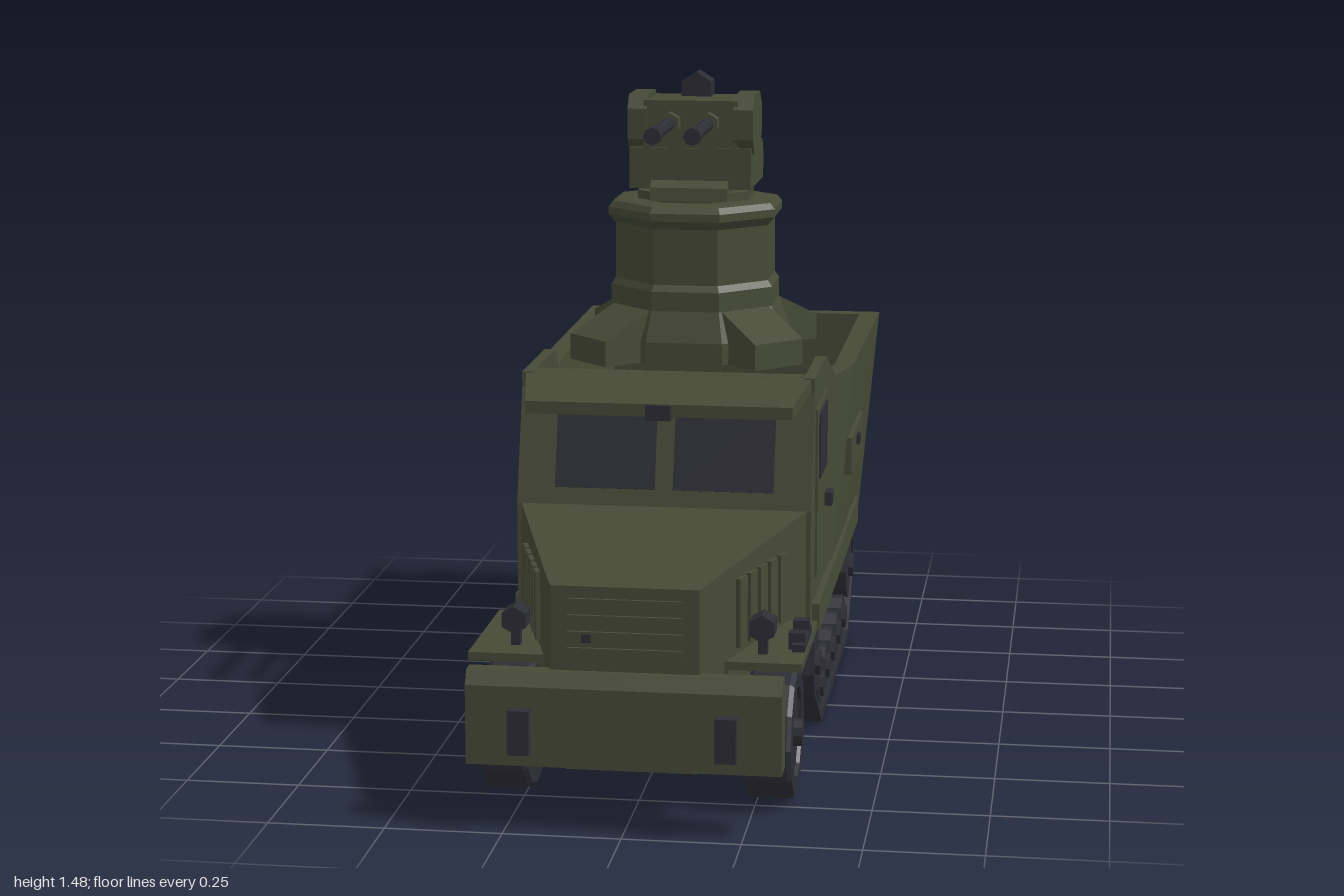
import * as THREE from 'three';

const green = new THREE.MeshStandardMaterial({ color: 0x464a35 });
green.name = 'olive paint';
const dark = new THREE.MeshStandardMaterial({ color: 0x2d2d36 });
dark.name = 'dark metal and glass';

export function createModel() {
  const root = new THREE.Group();
  root.name = 'halfTrackTruck';

  // Faceted mesh
  function add(name, geo, mat = green, x = 0, y = 0, z = 0, parent = root) {
    const g = geo.index ? geo.toNonIndexed() : geo;
    g.computeVertexNormals();
    const m = new THREE.Mesh(g, mat);
    m.name = name;
    m.position.set(x, y, z);
    parent.add(m);
    return m;
  }
  // Box from its extents
  const box = (name, mat, x0, x1, y0, y1, z0, z1) =>
    add(name, new THREE.BoxGeometry(x1 - x0, y1 - y0, z1 - z0), mat, (x0 + x1) / 2, (y0 + y1) / 2, (z0 + z1) / 2);
  // Side profile of [z, y] points extruded across x
  function profile(pts, width, hole) {
    const shape = new THREE.Shape(pts.map(p => new THREE.Vector2(...p)));
    if (hole) shape.holes.push(new THREE.Path(hole.map(p => new THREE.Vector2(...p))));
    return new THREE.ExtrudeGeometry(shape, { depth: width, bevelEnabled: false })
      .translate(0, 0, -width / 2).rotateY(-Math.PI / 2);
  }
  // Skin through sections { z, p: [x, y] counter-clockwise }, front to back, capped
  function loft(sections) {
    const pos = [], n = sections[0].p.length;
    const put = (s, i) => pos.push(s.p[i % n][0], s.p[i % n][1], s.z);
    for (let k = 0; k < sections.length - 1; k++) {
      const f = sections[k], b = sections[k + 1];
      for (let i = 0; i < n; i++) {
        put(f, i); put(b, i); put(b, i + 1);
        put(f, i); put(b, i + 1); put(f, i + 1);
      }
    }
    const first = sections[0], last = sections[sections.length - 1];
    const tris = s => THREE.ShapeUtils.triangulateShape(s.p.map(q => new THREE.Vector2(...q)), []);
    tris(first).forEach(t => t.forEach(i => put(first, i)));
    tris(last).forEach(t => [t[0], t[2], t[1]].forEach(i => put(last, i)));
    const g = new THREE.BufferGeometry();
    g.setAttribute('position', new THREE.Float32BufferAttribute(pos, 3));
    return g;
  }
  // Trapezoid section
  const trap = (z, wb, wt, y0, y1) => ({ z, p: [[-wb, y0], [wb, y0], [wt, y1], [-wt, y1]] });
  const axle = (r, w, n) => new THREE.CylinderGeometry(r, r, w, n).rotateZ(Math.PI / 2);
  const barrel = (r, l, n) => new THREE.CylinderGeometry(r, r, l, n).rotateX(Math.PI / 2);
  const sides = [1, -1];

  // Open cab and cargo tub
  const tub = (z, xo, xi, yt) => ({
    z, p: [[-0.33, 0.26], [0.33, 0.26], [xo, yt], [xi, yt], [0.3, 0.39], [-0.3, 0.39], [-xi, yt], [-xo, yt]],
  });
  add('bodyTub', loft([
    tub(0.31, 0.33, 0.305, 0.845), tub(0.03, 0.33, 0.305, 0.845), tub(-0.05, 0.345, 0.31, 0.785),
    tub(-0.2, 0.375, 0.33, 0.785), tub(-0.945, 0.38, 0.33, 0.785)]));
  add('tailgate', loft([trap(-0.91, 0.33, 0.378, 0.262, 0.784), trap(-0.947, 0.33, 0.38, 0.26, 0.785)]));
  box('cabBench', green, -0.3, 0.3, 0.38, 0.55, -0.03, 0.07);
  add('floorPlug', new THREE.CylinderGeometry(0.017, 0.017, 0.285, 6), dark, -0.085, 0.2725, -0.67);

  // Lower hull
  box('hull', green, -0.22, 0.22, 0.14, 0.3, -0.74, 0.52);
  box('frontChassis', green, -0.14, 0.14, 0.1, 0.32, 0.51, 0.86);

  // Cowl, windscreen and visor
  add('cowl', profile([[0.28, 0.27], [0.385, 0.27], [0.385, 0.56], [0.3, 0.845], [0.26, 0.845], [0.31, 0.56]], 0.66));
  for (const s of sides) {
    const w = add('windscreen', new THREE.BoxGeometry(0.225, 0.185, 0.008), dark, s * 0.133, 0.685, 0.348);
    w.rotation.x = -0.29;
  }
  add('visor', loft([trap(0.46, 0.295, 0.295, 0.78, 0.808), trap(0.29, 0.325, 0.325, 0.82, 0.847)]));
  box('visorLamp', dark, -0.028, 0.028, 0.772, 0.806, 0.43, 0.465);

  // Bonnet and grille
  add('bonnet', loft([trap(0.94, 0.155, 0.155, 0.27, 0.52), trap(0.86, 0.18, 0.18, 0.27, 0.526),
    trap(0.385, 0.32, 0.32, 0.27, 0.56)]));
  for (let i = 0; i < 4; i++) box('grilleSlat', green, -0.12, 0.12, 0.37 + i * 0.035, 0.39 + i * 0.035, 0.935, 0.947);
  box('grilleBadge', dark, -0.09, -0.07, 0.402, 0.42, 0.94, 0.949);

  // Front bumper
  add('bumper', profile([[0.91, 0.14], [0.975, 0.14], [0.975, 0.31], [0.955, 0.34], [0.925, 0.34], [0.905, 0.3]], 0.66));

  for (const s of sides) {
    const bx = (name, mat, a, b, ...r) => box(name, mat, Math.min(s * a, s * b), Math.max(s * a, s * b), ...r);
    bx('bumperPost', dark, 0.193, 0.238, 0.17, 0.265, 0.96, 1.0);

    // Fender with inner arch, headlamp and bonnet louvres
    bx('fender', green, 0.16, 0.355, 0.318, 0.336, 0.475, 0.82);
    bx('innerArch', green, 0.13, 0.2, 0.14, 0.32, 0.51, 0.82);
    bx('lampPost', dark, 0.255, 0.275, 0.33, 0.38, 0.735, 0.755);
    add('headlamp', barrel(0.03, 0.055, 6), dark, s * 0.265, 0.395, 0.745);
    for (let i = 0; i < 5; i++) {
      const z = 0.53 + i * 0.053;
      const l = add('louvre', new THREE.BoxGeometry(0.022, 0.15, 0.038), green, s * (0.32 - (z - 0.385) * 0.297), 0.425, z);
      l.rotation.y = -s * 0.29;
    }

    // Door with window and handle
    bx('door', green, 0.32, 0.335, 0.385, 0.77, 0.04, 0.285);
    bx('doorWindow', dark, 0.331, 0.339, 0.605, 0.755, 0.083, 0.255);
    bx('innerDoorWindow', dark, 0.299, 0.307, 0.605, 0.755, 0.083, 0.255);
    bx('doorHandle', dark, 0.325, 0.352, 0.51, 0.54, 0.06, 0.11);

    // Side locker, sill and inner bench
    bx('sideLocker', green, 0.33, 0.37, 0.51, 0.6, -0.55, -0.22);
    bx('lockerLatch', dark, 0.36, 0.378, 0.555, 0.58, -0.395, -0.36);
    bx('sill', green, 0.2, 0.346, 0.272, 0.336, -0.74, 0.335);
    bx('bench', green, 0.165, 0.315, 0.38, 0.53, -0.91, -0.1);

    // Tailgate ribs and tow hooks
    for (const x of [0.09, 0.24]) {
      const p = [[-0.03, 0], [-0.012, 0.035], [0.012, 0.035], [0.03, 0]].map(q => new THREE.Vector2(...q));
      const rib = new THREE.ExtrudeGeometry(new THREE.Shape(p), { depth: 0.4, bevelEnabled: false });
      add('tailgateRib', rib.rotateX(-Math.PI / 2), green, s * x, 0.35, -0.945);
    }
    bx('towHook', dark, 0.09, 0.19, 0.285, 0.315, -1.0, -0.975);
    bx('towMount', dark, 0.115, 0.165, 0.275, 0.32, -0.985, -0.94);

    // Front wheel
    const tyre = [[0.001, -0.05], [0.135, -0.05], [0.145, -0.04], [0.145, 0.04], [0.138, 0.05], [0.1, 0.05],
      [0.096, 0.042], [0.001, 0.042]].map(q => new THREE.Vector2(...q));
    add('frontWheel', new THREE.LatheGeometry(tyre, 12).rotateZ(-s * Math.PI / 2), dark, s * 0.283, 0.145, 0.68);

    // Track band and running gear
    const outer = [[0.13, 0], [0.3, 0.11], [0.337, 0.17], [0.325, 0.245], [0.27, 0.277], [-0.68, 0.277],
      [-0.735, 0.25], [-0.757, 0.19], [-0.735, 0.13], [-0.6, 0]];
    const inner = [[0.135, 0.022], [0.285, 0.12], [0.315, 0.172], [0.305, 0.232], [0.265, 0.254], [-0.675, 0.254],
      [-0.72, 0.235], [-0.735, 0.188], [-0.718, 0.142], [-0.593, 0.022]];
    add('track', profile(outer, 0.11, inner), dark, s * 0.28);
    for (const z of [0.24, -0.66]) {
      add('driveWheel', axle(0.083, 0.09, 10), dark, s * 0.285, 0.175, z);
      add('driveHub', axle(0.03, 0.115, 8), dark, s * 0.285, 0.175, z);
    }
    add('trackTensioner', profile([[0.26, 0.12], [0.21, 0.09], [0.16, 0.13], [0.155, 0.19], [0.2, 0.24], [0.26, 0.2]], 0.06),
      dark, s * 0.285);
    for (let i = 0; i < 5; i++) {
      add('roadWheel', axle(0.054, 0.095, 10), dark, s * 0.28, 0.076, 0.08 - i * 0.15);
      add('roadHub', axle(0.03, 0.112, 8), dark, s * 0.28, 0.076, 0.08 - i * 0.15);
    }
  }
  add('frontAxle', axle(0.03, 0.69, 10), dark, 0, 0.145, 0.68);
  box('tailLamp', dark, -0.33, -0.285, 0.29, 0.33, -0.98, -0.94);

  // Tools stowed on the left fender
  box('toolBar', dark, 0.325, 0.352, 0.336, 0.352, 0.57, 0.73);
  for (const z of [0.595, 0.695]) box('toolClip', dark, 0.315, 0.35, 0.336, 0.372, z - 0.015, z + 0.015);

  // Eight-sided turret pedestal
  const turret = new THREE.Group();
  turret.name = 'turret';
  turret.position.z = -0.165;
  root.add(turret);
  const column = [[0.001, 0.82], [0.215, 0.82], [0.215, 0.87], [0.19, 0.94], [0.19, 0.985], [0.18, 1.0], [0.18, 1.13],
    [0.196, 1.15], [0.196, 1.168], [0.185, 1.182], [0.13, 1.185], [0.13, 1.205], [0.001, 1.205]]
    .map(([r, y]) => new THREE.Vector2(r * 1.082, y));
  add('pedestal', new THREE.LatheGeometry(column, 8, Math.PI / 8), green, 0, 0, 0, turret);
  for (let i = 0; i < 4; i++) {
    const foot = add('pedestalFoot', profile([[0.12, 0.82], [0.315, 0.82], [0.315, 0.88], [0.19, 0.94], [0.12, 0.94]], 0.14),
      green, 0, 0, 0, turret);
    foot.rotation.y = Math.PI / 4 + i * Math.PI / 2;
  }

  // Gun housing
  add('turretNeck', profile([[-0.03, 1.19], [-0.035, 1.22], [-0.055, 1.235], [-0.28, 1.235], [-0.3, 1.19]], 0.18));
  add('housingBase', profile([[-0.06, 1.215], [-0.06, 1.31], [-0.3, 1.31], [-0.33, 1.27], [-0.315, 1.215]], 0.284));
  add('housingCore', profile([[-0.065, 1.3], [-0.065, 1.42], [-0.23, 1.42], [-0.3, 1.41], [-0.33, 1.38], [-0.33, 1.28], [-0.3, 1.25]], 0.22));
  add('housingRear', profile([[-0.19, 1.3], [-0.19, 1.41], [-0.3, 1.41], [-0.33, 1.38], [-0.33, 1.27], [-0.3, 1.24]], 0.27));
  for (const s of sides) {
    add('sideCheek', profile([[-0.06, 1.33], [-0.06, 1.4], [-0.085, 1.432], [-0.205, 1.432], [-0.245, 1.4], [-0.245, 1.335],
      [-0.21, 1.295], [-0.09, 1.295]], 0.045), green, s * 0.124);
    add('gunCollar', barrel(0.025, 0.04, 6), green, s * 0.045, 1.37, -0.05);
    add('gunBarrel', barrel(0.015, 0.28, 8), dark, s * 0.045, 1.37, 0.09);
    add('muzzle', barrel(0.02, 0.035, 8), dark, s * 0.045, 1.37, 0.222);
  }
  for (let i = -1; i <= 1; i++) box('rearCanister', dark, i * 0.045 - 0.017, i * 0.045 + 0.017, 1.33, 1.39, -0.345, -0.32);

  // Roof sight with a pointed top
  const sight = [[-0.035, 1.41], [0.035, 1.41], [0.035, 1.455], [0, 1.477], [-0.035, 1.455]];
  add('roofSight', loft([{ z: -0.17, p: sight }, { z: -0.235, p: sight }]), dark);

  return root;
}
